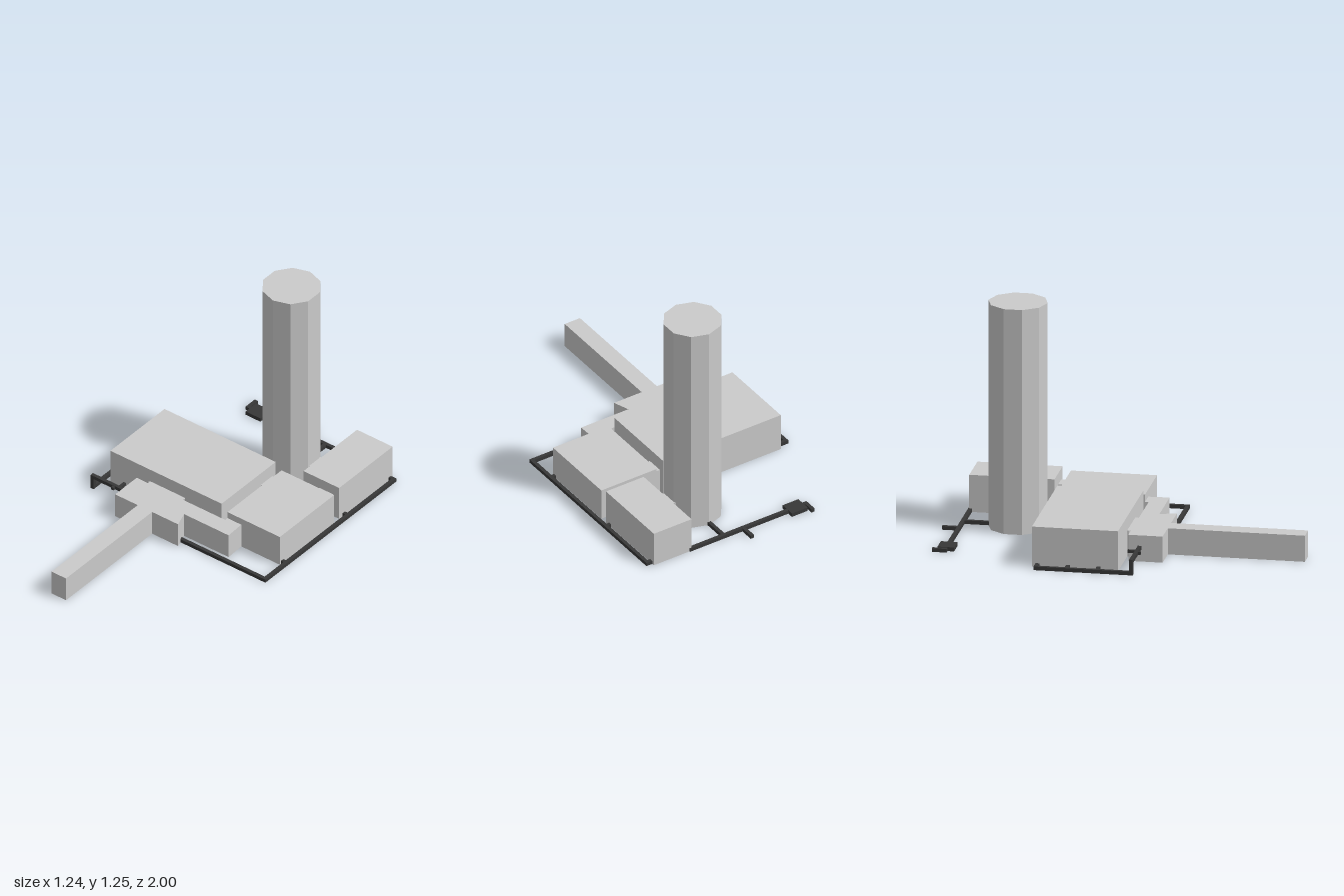
import * as THREE from 'three';

const wall = new THREE.MeshStandardMaterial({ color: 0xcccccc, flatShading: true });
const dark = new THREE.MeshStandardMaterial({ color: 0x383838, flatShading: true });

export function createModel() {
  const model = new THREE.Group();

  const add = (name, geometry, material = wall, parent = model) => {
    const mesh = new THREE.Mesh(geometry, material);
    mesh.name = name;
    parent.add(mesh);
    return mesh;
  };

  // Box given by its extents
  const box = (name, [x0, x1], [y0, y1], [z0, z1], material, parent) =>
    add(name, new THREE.BoxGeometry(x1 - x0, y1 - y0, z1 - z0), material, parent)
      .position.set((x0 + x1) / 2, (y0 + y1) / 2, (z0 + z1) / 2);

  // Floor plan of [x, z] corners raised to a height
  const raisePlan = (name, plan, height) => {
    const shape = new THREE.Shape(plan.map(([x, z]) => new THREE.Vector2(x, -z)));
    const geometry = new THREE.ExtrudeGeometry(shape, { depth: height, bevelEnabled: false });
    add(name, geometry.rotateX(-Math.PI / 2));
  };

  // Square pipe run along axis-aligned points
  const T = 0.01;
  const pipe = (name, points) => {
    const run = new THREE.Group();
    run.name = name;
    model.add(run);
    for (let i = 1; i < points.length; i++) {
      const span = [0, 1, 2].map((k) => [
        Math.min(points[i - 1][k], points[i][k]) - T,
        Math.max(points[i - 1][k], points[i][k]) + T,
      ]);
      box(name + 'Segment', ...span, dark, run);
    }
  };

  // Main buildings
  box('mainHall', [-0.56, 0.19], [0, 0.222], [-0.41, 0.055]);
  box('sideHall', [0.23, 0.583], [0, 0.185], [-0.41, 0.055]);
  box('rearHall', [0.343, 0.583], [0, 0.206], [-0.915, -0.455]);

  // Ten-sided tower
  add('tower', new THREE.CylinderGeometry(0.16, 0.16, 1.25, 10))
    .position.set(0.137, 0.625, -0.613);

  // Entrance annex with the long front corridor
  raisePlan('entranceAnnex', [
    [-0.367, 0.075], [0.23, 0.075], [0.23, 0.055], [0.323, 0.055],
    [0.328, 0.17], [0.027, 0.17], [0.058, 0.26], [-0.118, 0.26],
    [-0.118, 1], [-0.215, 1], [-0.215, 0.26], [-0.367, 0.26],
  ], 0.145);

  // Links between the buildings
  raisePlan('towerLink', [[0.27, -0.675], [0.345, -0.656], [0.345, -0.56], [0.27, -0.575]], 0.145);
  box('rearLink', [0.45, 0.545], [0, 0.145], [-0.456, -0.409]);
  box('hallLink', [0.189, 0.231], [0, 0.145], [-0.38, -0.283]);
  raisePlan('annexLink', [
    [-0.285, 0.054], [-0.06, 0.054], [-0.05, 0.064], [-0.06, 0.076], [-0.285, 0.076], [-0.297, 0.064],
  ], 0.145);

  // Right-hand ground pipe and its branches
  pipe('leftPipe', [[0.585, T, -0.89], [0.61, T, -0.89], [0.61, T, 0.216], [0.05, T, 0.216]]);
  for (const z of [-0.495, 0.035]) pipe('leftPipeBranch', [[0.585, T, z], [0.61, T, z]]);

  // Pipe that rises beside the main hall into the annex
  pipe('rightPipe', [
    [-0.56, T, -0.38], [-0.612, T, -0.38], [-0.612, T, 0.136],
    [-0.612, 0.077, 0.136], [-0.367, 0.077, 0.136],
  ]);
  for (const z of [-0.215, -0.05]) pipe('rightPipeBranch', [[-0.56, T, z], [-0.612, T, z]]);
  box('raisedPipeBranch', [-0.448, -0.432], [0.069, 0.085], [0.085, 0.136], dark);
  box('raisedPipeStub', [-0.473, -0.457], [0.069, 0.085], [0.136, 0.16], dark);

  // Rear pipe with branches and a valve box
  pipe('rearPipe', [[0.345, T, -0.91], [-0.388, T, -0.91], [-0.388, T, -0.97]]);
  pipe('rearPipeBranch', [[0.012, T, -0.91], [0.012, T, -0.99]]);
  pipe('towerPipe', [[0.135, T, -0.91], [0.135, T, -0.77]]);
  box('valveBox', [-0.37, -0.27], [0, 0.022], [-0.955, -0.865], dark);

  return model;
}
